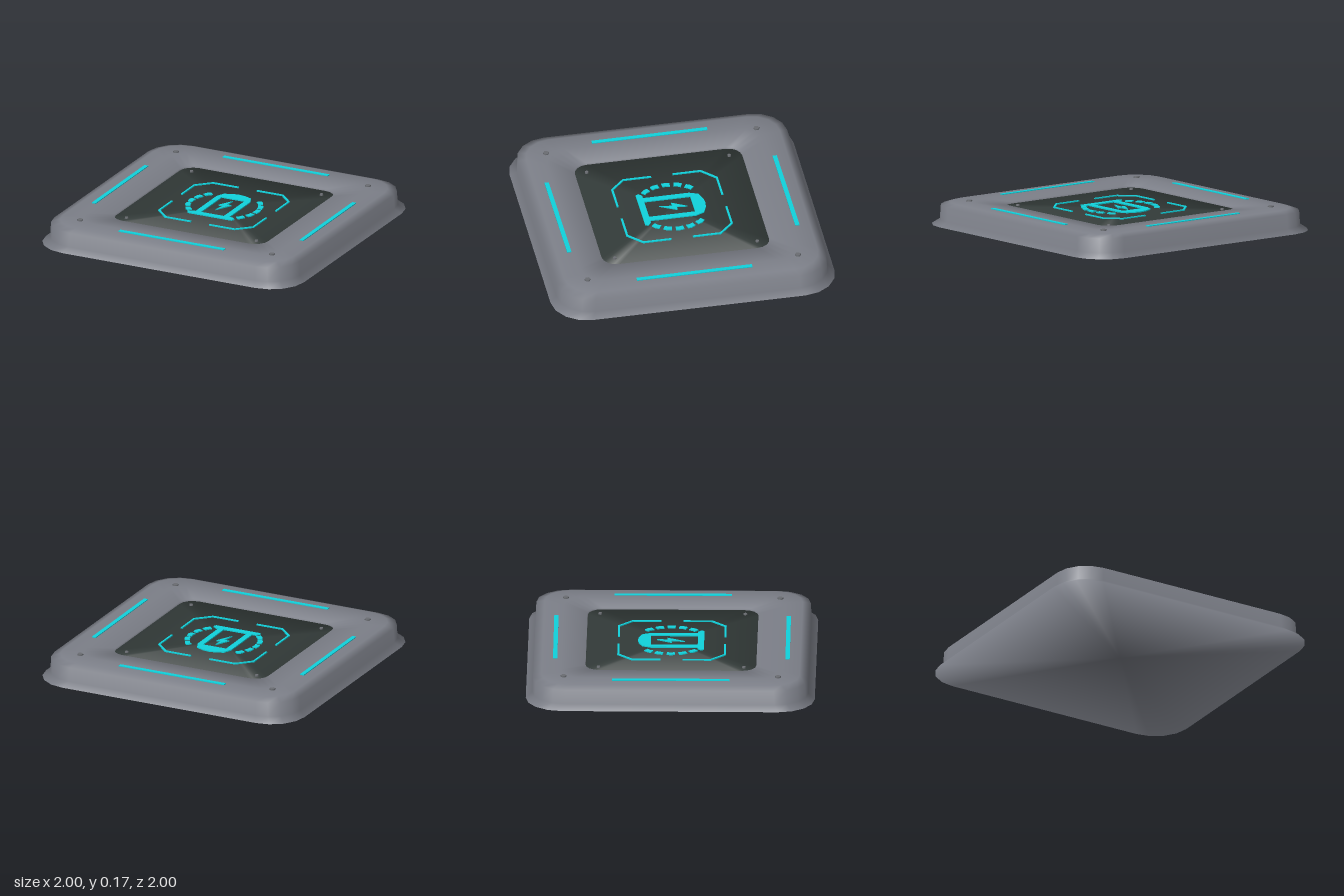
import * as THREE from 'three';

const mat = (name, color) => {
  const m = new THREE.MeshStandardMaterial({ color });
  m.name = name;
  return m;
};

// Rounded square of given half size, turned very slightly; returns [x, z, dirX, dirZ] points
function outline(half, radius, seg = 4) {
  const pts = [], twist = 0.005;
  for (let q = 0; q < 4; q++) {
    const mid = Math.PI / 4 + q * Math.PI / 2;
    const cx = Math.sign(Math.cos(mid)) * (half - radius), cz = Math.sign(Math.sin(mid)) * (half - radius);
    for (let i = 0; i <= seg; i++) {
      const a = q * Math.PI / 2 + i / seg * Math.PI / 2;
      const x = cx + Math.cos(a) * radius, z = cz + Math.sin(a) * radius;
      pts.push([x - twist * z, z + twist * x, Math.cos(a), Math.sin(a)]);
    }
  }
  return pts;
}

// Skin over rounded-square rings [half, radius, y, normal tilt from up in degrees]
function loft(rings) {
  const pos = [], nor = [], idx = [];
  let n = 0;
  rings.forEach(([half, radius, y, tilt], r) => {
    const t = THREE.MathUtils.degToRad(tilt), pts = outline(half, radius);
    n = pts.length;
    pts.forEach(([x, z, dx, dz], j) => {
      pos.push(x, y, z);
      nor.push(dx * Math.sin(t), Math.cos(t), dz * Math.sin(t));
      if (r === 0) return;
      const a = (r - 1) * n + j, b = (r - 1) * n + (j + 1) % n;
      idx.push(a, a + n, b, b, a + n, b + n);
    });
  });
  const g = new THREE.BufferGeometry();
  g.setAttribute('position', new THREE.Float32BufferAttribute(pos, 3));
  g.setAttribute('normal', new THREE.Float32BufferAttribute(nor, 3));
  g.setIndex(idx);
  return g;
}

// Flat plate from [x, z] corners, lying on height y
function plate(points, y, depth = 0.008) {
  const shape = new THREE.Shape(points.map(([x, z]) => new THREE.Vector2(x, -z)));
  const g = new THREE.ExtrudeGeometry(shape, { depth, bevelEnabled: false });
  return g.rotateX(-Math.PI / 2).translate(0, y, 0);
}

export function createModel() {
  const grey = mat('bodyGrey', 0x7c7f88);
  const dark = mat('panelDark', 0x333b39);
  const teal = mat('glowTeal', 0x10d2dc);
  const steel = mat('boltGrey', 0x6a6d72);
  const model = new THREE.Group();
  model.name = 'chargingPad';
  const add = (name, geometry, material, parent = model) => {
    const m = new THREE.Mesh(geometry, material);
    m.name = name;
    parent.add(m);
    return m;
  };

  // Body: flat base, flared skirt, wall, bevel, and a frame dipping to the panel
  add('body', loft([
    [0, 0, 0, 180],
    [0.995, 0.25, 0, 60],
    [0.95, 0.23, 0.035, 72],
    [0.945, 0.23, 0.135, 68],
    [0.89, 0.2, 0.155, 15],
    [0.76, 0.15, 0.157, 0],
    [0.588, 0.1, 0.145, -30],
    [0.588, 0.1, 0.11, -90],
  ]), grey);

  // Recessed centre panel
  const top = 0.132;
  add('centrePanel', loft([
    [0.587, 0.1, 0.11, 70],
    [0.587, 0.1, top, 38],
    [0, 0, top, 0],
  ]), dark);

  // Light strips on the frame
  for (let i = 0; i < 4; i++) {
    const g = new THREE.BoxGeometry(0.81, 0.01, 0.03).translate(0, 0.157, 0.8);
    add('lightStrip', g.rotateY(i * Math.PI / 2), teal);
  }

  // Corner bolts on frame and panel, and corner brackets
  for (const sx of [-1, 1]) for (const sz of [-1, 1]) {
    add('frameBolt', new THREE.CylinderGeometry(0.02, 0.022, 0.016, 6).translate(sx * 0.738, 0.158, sz * 0.738), steel);
    add('panelBolt', new THREE.CylinderGeometry(0.012, 0.014, 0.012, 8).translate(sx * 0.5, top + 0.004, sz * 0.5), steel);
    const bracket = [[0.37, 0.075], [0.37, 0.274], [0.27, 0.374], [0.07, 0.374],
      [0.07, 0.36], [0.264, 0.36], [0.356, 0.268], [0.356, 0.075]];
    add('cornerBracket', plate(bracket.map(([x, z]) => [x * sx, z * sz]), top), teal);
  }

  // Dashed arcs on both sides of the symbol
  for (const side of [0, Math.PI]) for (let k = -2; k <= 2; k++) {
    const at = (r, a) => [r * Math.cos(a), r * Math.sin(a) - 0.005];
    const a = side + k * 0.325, d = 0.11;
    add('arcDash', plate([at(0.232, a - d), at(0.268, a - d), at(0.272, a), at(0.268, a + d),
      at(0.232, a + d), at(0.236, a)], top), teal);
  }

  // Charging post symbol
  const symbol = new THREE.Group();
  symbol.name = 'chargerSymbol';
  model.add(symbol);
  add('postCap', plate([[-0.13, -0.145], [-0.105, -0.205], [-0.05, -0.228], [0, -0.235],
    [0.05, -0.228], [0.105, -0.205], [0.13, -0.145]], top), teal, symbol);
  for (const s of [-1, 1]) {
    add('postSide', plate([[s * 0.13, -0.145], [s * 0.13, 0.18], [s * 0.088, 0.18], [s * 0.088, -0.145]], top), teal, symbol);
  }
  add('postFoot', plate([[-0.155, 0.178], [0.155, 0.178], [0.18, 0.2], [0.17, 0.222],
    [-0.17, 0.222], [-0.18, 0.2]], top), teal, symbol);
  add('lightningBolt', plate([[0.015, -0.105], [-0.042, 0], [-0.005, -0.005], [-0.02, 0.088],
    [0.042, -0.032], [0.008, -0.03]], top), teal, symbol);

  return model;
}
